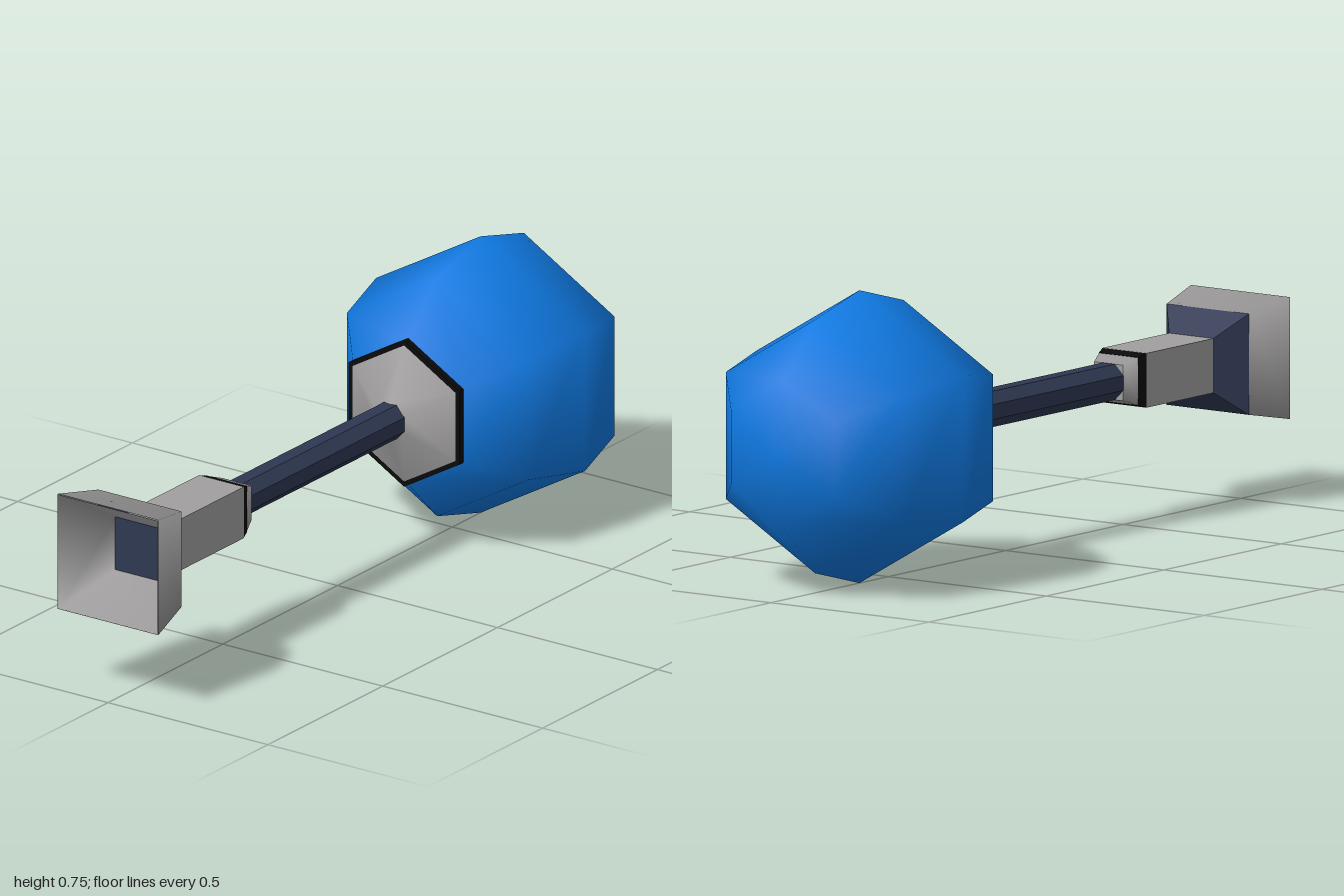
import * as THREE from 'three';

const AXIS_Y = 0.377;

function material(name, color, flatShading = false, side = THREE.FrontSide) {
  const m = new THREE.MeshStandardMaterial({ color, flatShading, side });
  m.name = name;
  return m;
}

export function createModel() {
  const group = new THREE.Group();
  group.name = 'ballHeadedWand';

  const blue = material('ball blue', 0x0f78e0);
  const grey = material('metal grey', 0xa09e9f, false, THREE.DoubleSide);
  const navy = material('shaft navy', 0x2f3852, true, THREE.DoubleSide);
  const black = material('trim black', 0x0a0a0a, true);

  function add(name, geometry, mat, x = 0) {
    const mesh = new THREE.Mesh(geometry, mat);
    mesh.name = name;
    mesh.position.set(x, AXIS_Y, 0);
    group.add(mesh);
  }

  // Prism or frustum lying along x from x0 to x1
  function section(name, x0, x1, r0, r1, sides, start, mat, open = false) {
    const g = new THREE.CylinderGeometry(r1, r0, x1 - x0, sides, 1, open, start);
    g.rotateZ(-Math.PI / 2);
    add(name, g, mat, (x0 + x1) / 2);
  }

  // Square section given by its half widths
  const square = (name, x0, x1, h0, h1, mat, open) =>
    section(name, x0, x1, h0 * Math.SQRT2, h1 * Math.SQRT2, 4, Math.PI / 4, mat, open);

  // Hexagonal section with a corner at the top
  const hex = (name, x0, x1, r0, r1, mat, open) =>
    section(name, x0, x1, r0, r1, 6, Math.PI / 2, mat, open);

  // Six-sided ball head
  const ball = new THREE.SphereGeometry(0.377, 6, 6);
  ball.rotateZ(-Math.PI / 2);
  add('ball', ball, blue, 0.623);

  // Collar holding the ball
  hex('collarCone', 0.225, 0.292, 0.046, 0.19, grey, true);
  hex('collarRim', 0.29, 0.312, 0.2, 0.2, black);

  // Shaft and ferrule
  section('shaft', -0.46, 0.25, 0.05, 0.05, 8, Math.PI / 8, navy);
  square('ferrule', -0.482, -0.438, 0.062, 0.046, grey);
  square('gripBand', -0.507, -0.48, 0.07, 0.062, black);

  // Square grip
  const grip = new THREE.BoxGeometry(0.31, 0.14, 0.14);
  add('grip', grip, grey, -0.66);

  // Flared pommel with a hollow end
  square('pommelNeck', -0.86, -0.79, 0.13, 0.07, navy, true);
  square('pommelShell', -1, -0.86, 0.157, 0.13, grey, true);
  square('pommelRecess', -1, -0.865, 0.155, 0.07, grey, true);
  square('recessFloor', -0.869, -0.862, 0.072, 0.07, navy);

  return group;
}
